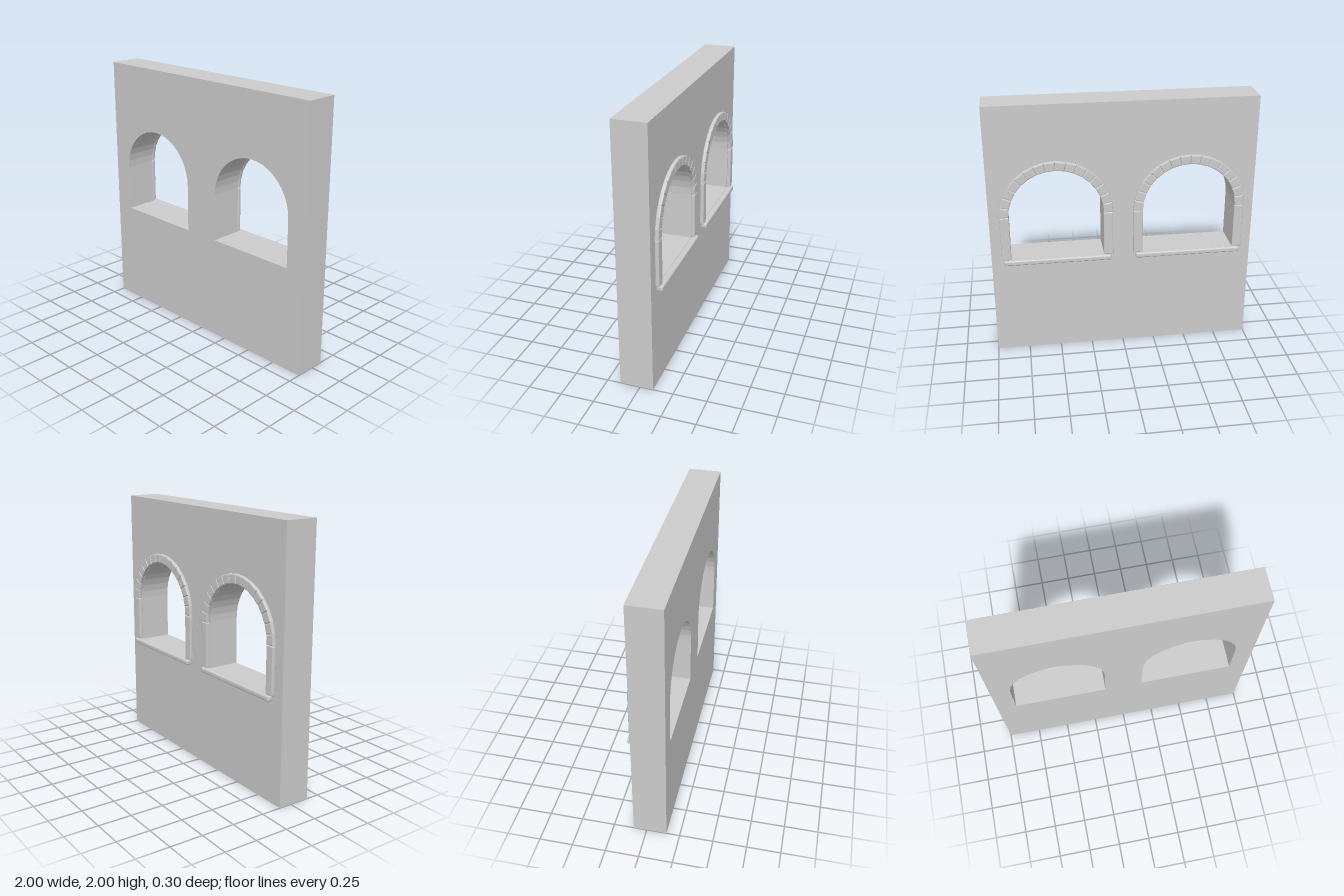
import * as THREE from 'three';
import { RoundedBoxGeometry } from 'three/addons/geometries/RoundedBoxGeometry.js';

const material = new THREE.MeshStandardMaterial({ color: 0xcccccc, flatShading: true });

const CENTRES = [-0.5, 0.5];
const SILL_Y = 0.797, SPRING_Y = 1.155, OPENING_R = 0.355; // window opening
const TRIM_IN = 0.351, TRIM_OUT = 0.422;                   // stone surround
const BACK_Z = -0.1, TRIM_DEPTH = 0.03, BEVEL = 0.008;
const STONES = 16;

function add(parent, name, geometry, x = 0, y = 0, z = 0) {
  const mesh = new THREE.Mesh(geometry, material);
  mesh.name = name;
  mesh.position.set(x, y, z);
  parent.add(mesh);
  return mesh;
}

// Wall slab pierced by two round-headed openings
function wallGeometry() {
  const shape = new THREE.Shape([[-1, 0], [1, 0], [1, 2], [-1, 2]].map(p => new THREE.Vector2(...p)));
  for (const cx of CENTRES) {
    const hole = new THREE.Path();
    hole.moveTo(cx - OPENING_R, SILL_Y);
    hole.lineTo(cx + OPENING_R, SILL_Y);
    hole.lineTo(cx + OPENING_R, SPRING_Y);
    hole.absarc(cx, SPRING_Y, OPENING_R, 0, Math.PI, false);
    hole.lineTo(cx - OPENING_R, SILL_Y);
    shape.holes.push(hole);
  }
  return new THREE.ExtrudeGeometry(shape, { depth: 0.25, bevelEnabled: false, curveSegments: 10 });
}

// One wedge-shaped arch stone, pointing up from the arch centre
function stoneGeometry() {
  const half = Math.PI / STONES / 2;
  const wi = TRIM_IN * Math.tan(half), wo = TRIM_OUT * Math.tan(half);
  const shape = new THREE.Shape([[-wi, TRIM_IN], [wi, TRIM_IN], [wo, TRIM_OUT], [-wo, TRIM_OUT]]
    .map(p => new THREE.Vector2(...p)));
  const geometry = new THREE.ExtrudeGeometry(shape, {
    depth: TRIM_DEPTH - 2 * BEVEL, bevelThickness: BEVEL, bevelSize: BEVEL, bevelOffset: -BEVEL, bevelSegments: 2,
  });
  return geometry.translate(0, 0, BEVEL);
}

export function createModel() {
  const model = new THREE.Group();
  model.name = 'arcadeWall';
  add(model, 'wall', wallGeometry(), 0, 0, BACK_Z);

  const stone = stoneGeometry();
  const jambBottom = 0.804, jambHeight = SPRING_Y - jambBottom;
  const jamb = new RoundedBoxGeometry(TRIM_OUT - TRIM_IN, jambHeight, TRIM_DEPTH, 2, BEVEL);
  const sill = new RoundedBoxGeometry(0.81, 0.04, 0.05, 2, 0.012);

  for (const cx of CENTRES) {
    const surround = new THREE.Group();
    surround.name = 'windowSurround';
    surround.position.x = cx;
    model.add(surround);

    // Ring of arch stones
    for (let i = 0; i < STONES; i++) {
      const mesh = add(surround, 'archStone', stone, 0, SPRING_Y, BACK_Z - TRIM_DEPTH);
      mesh.rotation.z = ((i + 0.5) / STONES - 0.5) * Math.PI;
    }
    // Upright side stones and the projecting sill
    for (const side of [-1, 1]) {
      add(surround, 'jamb', jamb, side * (TRIM_IN + TRIM_OUT) / 2, jambBottom + jambHeight / 2, BACK_Z - TRIM_DEPTH / 2);
    }
    add(surround, 'sill', sill, 0, 0.784, -0.125);
  }
  return model;
}
